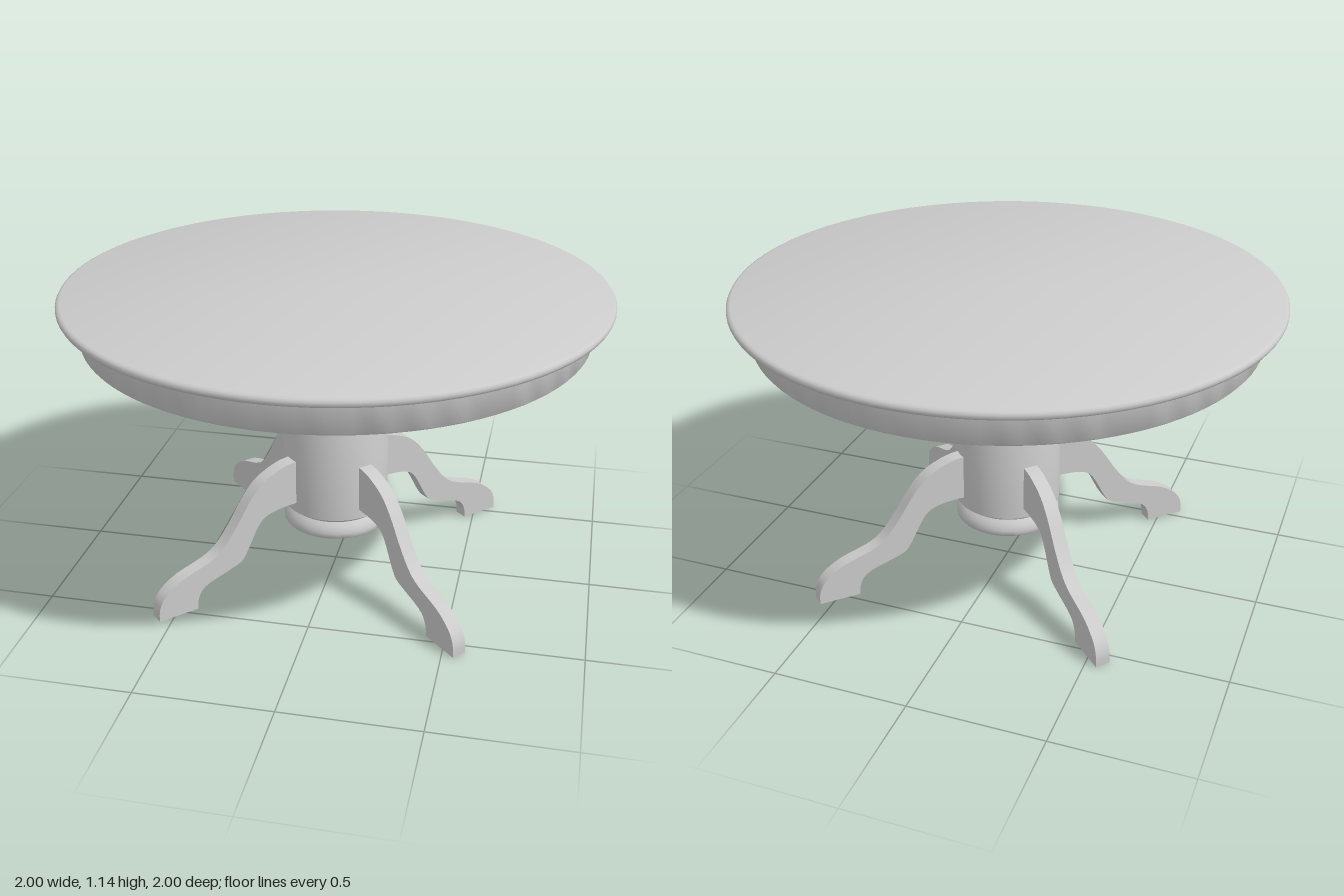
import * as THREE from 'three';
import { toCreasedNormals } from 'three/addons/utils/BufferGeometryUtils.js';

const material = new THREE.MeshStandardMaterial({ color: 0xcccccc });
const vectors = (points) => points.map(([x, y]) => new THREE.Vector2(x, y));

// Turned part from a radius/height profile; crease keeps sharp edges
function turned(name, profile, crease = 0.7) {
  let geometry = new THREE.LatheGeometry(vectors(profile), 96);
  if (crease) geometry = toCreasedNormals(geometry, crease);
  const mesh = new THREE.Mesh(geometry, material);
  mesh.name = name;
  return mesh;
}

// Curved side outline of one leg: radius from the column axis, height
function legGeometry() {
  const shape = new THREE.Shape();
  shape.moveTo(0.16, 0.32);
  shape.lineTo(0.16, 0.498);
  shape.splineThru(vectors([[0.2, 0.496], [0.26, 0.485], [0.34, 0.447], [0.4, 0.385], [0.461, 0.294],
    [0.522, 0.219], [0.581, 0.182], [0.694, 0.144], [0.764, 0.096], [0.79, 0.048], [0.793, 0]]));
  shape.lineTo(0.635, 0);
  shape.splineThru(vectors([[0.628, 0.048], [0.59, 0.091], [0.461, 0.134], [0.424, 0.166],
    [0.364, 0.273], [0.318, 0.307], [0.25, 0.318], [0.16, 0.32]]));
  const depth = 0.054;
  const geometry = new THREE.ExtrudeGeometry(shape, { depth, bevelEnabled: false, curveSegments: 3 });
  geometry.translate(0, 0, -depth / 2);
  return toCreasedNormals(geometry, 0.7);
}

export function createModel() {
  const table = new THREE.Group();
  table.name = 'pedestalTable';

  // Round top with an eased edge
  table.add(turned('tableTop', [[0, 1.112], [0.985, 1.112], [0.996, 1.116], [1, 1.124],
    [1, 1.133], [0.995, 1.141], [0.985, 1.145], [0, 1.145]], 0.9));

  // Apron band below the top
  table.add(turned('apron', [[0.92, 0.99], [0.925, 0.996], [0.925, 1.113]]));

  // Upper column blending softly into the underside
  table.add(turned('neckAndUnderside', [[0.2, 0.8], [0.2, 0.99], [0.92, 0.99]], 0));

  // Column with a groove near the top and a rounded foot moulding
  table.add(turned('column', [[0, 0.2], [0.195, 0.2], [0.2, 0.206], [0.2, 0.222], [0.195, 0.24],
    [0.184, 0.254], [0.177, 0.262], [0.18, 0.268], [0.2, 0.28], [0.2, 0.775], [0.197, 0.782],
    [0.19, 0.787], [0.19, 0.793], [0.2, 0.8]]));

  // Four legs on the diagonals
  const geometry = legGeometry();
  for (let i = 0; i < 4; i++) {
    const leg = new THREE.Mesh(geometry, material);
    leg.name = `leg${i + 1}`;
    leg.rotation.y = Math.PI / 4 + (i * Math.PI) / 2;
    table.add(leg);
  }
  return table;
}
